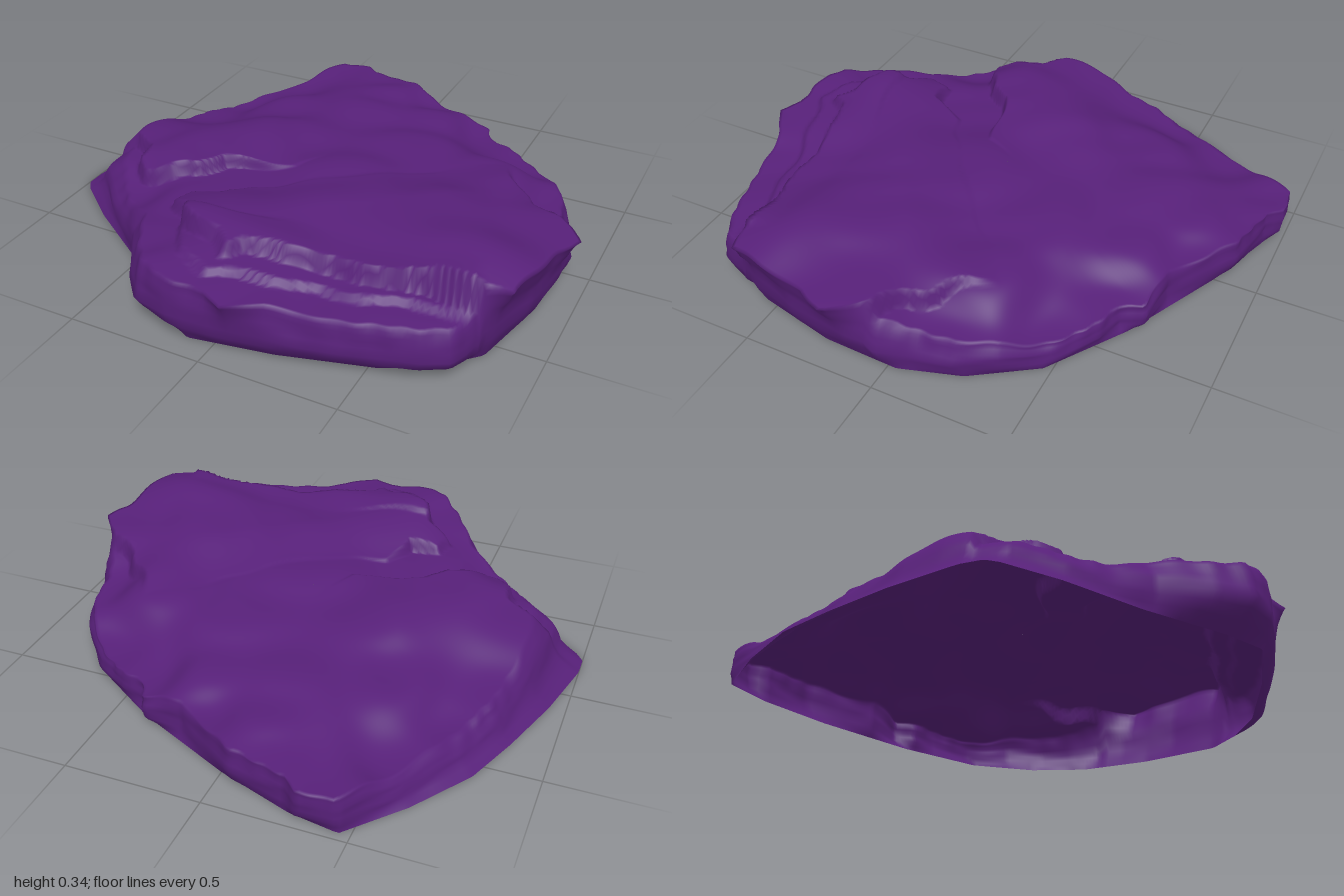
import * as THREE from 'three';

const { smoothstep, lerp } = THREE.MathUtils;

// Outlines as [x, z], running clockwise seen from above: foot, widest line and top rim
const foot = [
  [-0.46, -0.97], [-0.28, -0.94], [0, -0.84], [0.38, -0.66], [0.67, -0.47], [0.82, -0.25],
  [0.89, -0.03], [0.88, 0.25], [0.81, 0.56], [0.7, 0.67], [0.53, 0.77], [0.2, 0.86], [-0.1, 0.91],
  [-0.25, 0.82], [-0.53, 0.6], [-0.8, 0.42], [-0.97, 0.28], [-1, 0.24], [-1, 0.16],
  [-0.94, -0.1], [-0.86, -0.35], [-0.78, -0.56], [-0.63, -0.78],
];
const belly = [
  [-0.46, -0.98], [-0.32, -0.99], [-0.27, -0.94], [-0.05, -0.9], [0.08, -0.81], [0.2, -0.73],
  [0.36, -0.71], [0.4, -0.63], [0.5, -0.6], [0.65, -0.5], [0.78, -0.36], [0.85, -0.22],
  [0.88, -0.08], [0.93, 0.02], [0.93, 0.14], [0.9, 0.38], [0.83, 0.6], [0.77, 0.75],
  [0.68, 0.8], [0.45, 0.86], [0.2, 0.92], [0, 0.95], [-0.15, 0.96], [-0.28, 0.93],
  [-0.38, 0.82], [-0.5, 0.64], [-0.62, 0.53], [-0.75, 0.42], [-0.9, 0.27], [-0.9, 0.18],
  [-0.89, 0.05], [-0.87, -0.1], [-0.81, -0.33], [-0.73, -0.53], [-0.6, -0.77],
];
const rim = [
  [-0.45, -0.98], [-0.32, -0.99], [-0.27, -0.94], [-0.05, -0.89], [0.08, -0.8], [0.2, -0.72],
  [0.36, -0.7], [0.4, -0.62], [0.5, -0.59], [0.64, -0.49], [0.76, -0.35], [0.82, -0.22],
  [0.84, -0.08], [0.9, 0.07], [1, 0.18], [0.95, 0.28], [0.93, 0.45], [0.9, 0.59],
  [0.81, 0.61], [0.75, 0.73], [0.66, 0.78], [0.45, 0.84], [0.2, 0.9], [0.08, 0.99],
  [0, 0.94], [-0.15, 0.95], [-0.26, 0.9], [-0.35, 0.79], [-0.46, 0.6], [-0.62, 0.47],
  [-0.7, 0.38], [-0.8, 0.25], [-0.82, 0.1], [-0.81, -0.1], [-0.77, -0.3], [-0.69, -0.5], [-0.57, -0.76],
];

// Heights of the lowest top surface at a few places, as [x, z, y]
const heights = [
  [-0.45, -0.95, 0.14], [-0.2, -0.9, 0.15], [0.1, -0.78, 0.14], [-0.59, -0.72, 0.1],
  [-0.7, -0.48, 0.1], [-0.1, -0.5, 0.21], [-0.1, -0.7, 0.185], [0.15, -0.58, 0.2],
  [0.4, -0.63, 0.11], [0.62, -0.5, 0.1], [0.84, -0.2, 0.15], [0.9, 0.15, 0.21],
  [-0.77, -0.3, 0.12], [-0.45, -0.4, 0.19], [-0.8, 0.1, 0.17], [-0.3, -0.1, 0.23],
  [0.2, -0.25, 0.235], [0.55, -0.2, 0.24], [0.1, 0.1, 0.26], [0.5, 0.3, 0.25],
  [-0.5, 0.2, 0.21], [-0.35, 0.45, 0.22], [-0.65, 0.45, 0.15], [-0.33, 0.8, 0.23],
  [-0.2, 0.87, 0.26], [0, 0.88, 0.245], [0.4, 0.8, 0.2], [0.75, 0.7, 0.2], [0.1, 0.98, 0.23],
];

const bump = (x, z, cx, cz, r) => Math.exp(-((x - cx) ** 2 + (z - cz) ** 2) / (r * r));

// Overlapping layers of rock: each steps up at its outline and fades out behind
const layers = [
  { // high plate at the front left
    outline: [
      [0.58, -0.27], [0.68, -0.12], [0.78, -0.02], [0.9, 0.06], [1.1, 0.12], [1.1, 0.6],
      [0.8, 0.61], [0.6, 0.63], [0.3, 0.67], [0.1, 0.69], [0.01, 0.73], [-0.03, 0.8],
      [-0.08, 0.73], [-0.25, 0.67], [-0.29, 0.59], [-0.38, 0.53], [-0.37, 0.45], [-0.24, 0.43],
      [-0.2, 0.32], [-0.02, 0.22], [0.3, -0.02],
    ],
    lift: (x, z) => 0.06 * smoothstep(0.6 * x + 0.8 * z, 0.12, 0.42)
      + 0.07 * bump(x, z, 0.77, 0.5, 0.2) + 0.045 * bump(x, z, -0.25, 0.5, 0.17)
      - 0.02 * bump(x, z, 0, 0.8, 0.15),
  },
  { // low plate at the right
    outline: [
      [-0.2, -0.5], [-0.02, -0.15], [-0.1, 0.13], [-0.38, 0.2], [-0.42, 0.28], [-0.52, 0.34],
      [-0.63, 0.36], [-0.69, 0.29], [-0.72, 0.2], [-0.81, 0.13], [-0.9, -0.02], [-0.9, -0.2],
      [-0.7, -0.5], [-0.5, -0.6],
    ],
    lift: (x, z) => 0.055 * smoothstep(z, -0.4, 0.15) * (1 - smoothstep(x, -0.4, -0.02)),
  },
  { // narrow ledge below the high plate
    outline: [
      [-0.28, 0.62], [0.3, 0.5], [0.78, 0.5], [0.8, 0.64], [0.62, 0.69], [0.3, 0.75],
      [0.12, 0.81], [-0.04, 0.86], [-0.18, 0.81],
    ],
    lift: (x, z) => 0.025 * smoothstep(z, 0.5, 0.68),
  },
];

const ripple = (x, z) =>
  0.003 * Math.sin(9 * x + 5 * z + Math.sin(7 * z)) + 0.002 * Math.sin(21 * z - 11 * x + 2 * Math.sin(9 * x));

// Distance to an outline, positive inside
function insideDistance(points, x, z) {
  let nearest = Infinity, inside = false;
  points.forEach(([ax, az], i) => {
    const [bx, bz] = points[(i + 1) % points.length];
    const ex = bx - ax, ez = bz - az;
    const t = THREE.MathUtils.clamp(((x - ax) * ex + (z - az) * ez) / (ex * ex + ez * ez), 0, 1);
    nearest = Math.min(nearest, Math.hypot(x - ax - t * ex, z - az - t * ez));
    if (az > z !== bz > z && x < ax + (ex * (z - az)) / ez) inside = !inside;
  });
  return inside ? nearest : -nearest;
}

function surfaceHeight(x, z) {
  let sum = 0, total = 0;
  for (const [px, pz, y] of heights) {
    const w = 1 / ((x - px) ** 2 + (z - pz) ** 2 + 0.01) ** 2;
    sum += w * y;
    total += w;
  }
  // Ragged layer edges
  const jx = x + 0.01 * Math.sin(23 * z + 2 * Math.sin(9 * x));
  const jz = z + 0.01 * Math.sin(21 * x + 2 * Math.sin(11 * z));
  return layers.reduce(
    (y, { outline, lift }) => y + lift(x, z) * smoothstep(insideDistance(outline, jx, jz), -0.01, 0.01),
    sum / total + ripple(x, z));
}

// Distance from the middle to an outline in one direction
function reach(points, dx, dz) {
  let far = 0;
  points.forEach(([ax, az], i) => {
    const [bx, bz] = points[(i + 1) % points.length];
    const ex = bx - ax, ez = bz - az, det = dx * ez - dz * ex;
    const r = (ax * ez - az * ex) / det, t = (ax * dz - az * dx) / det;
    if (t >= -1e-6 && t <= 1 + 1e-6) far = Math.max(far, r);
  });
  return far;
}

// Skins a list of equally long rings, from the outside bottom to the middle of the top
function skin(rings) {
  const n = rings[0].length, index = [];
  for (let r = 0; r < rings.length - 1; r++) {
    for (let i = 0; i < n; i++) {
      const a = r * n + i, b = r * n + (i + 1) % n;
      index.push(a, a + n, b, b, a + n, b + n);
    }
  }
  const geometry = new THREE.BufferGeometry();
  geometry.setAttribute('position', new THREE.Float32BufferAttribute(rings.flat(2), 3));
  geometry.setIndex(index);
  geometry.computeVertexNormals();
  return geometry;
}

// Hollow slab: undercut walls up to the rim, then the layered top
function makeSlab() {
  const count = 380, steps = 80;
  const spokes = Array.from({ length: count }, (_, i) => {
    const a = (i / count) * Math.PI * 2 + 0.001;
    const dx = Math.cos(a), dz = Math.sin(a);
    const chip = 0.004 * Math.sin(47 * a + 3 * Math.sin(7 * a));
    const top = reach(rim, dx, dz) + chip;
    return {
      dx, dz, top,
      low: reach(foot, dx, dz),
      mid: reach(belly, dx, dz),
      y: surfaceHeight(dx * top, dz * top),
    };
  });
  const walls = [0, 0.15, 0.3, 0.45, 0.6, 0.72, 0.84, 0.93].map((t) =>
    spokes.map(({ dx, dz, low, mid, top, y }) => {
      const r = t < 0.45 ? lerp(low, mid, Math.sin((t / 0.45) * Math.PI / 2))
        : lerp(mid, top, ((t - 0.45) / 0.55) ** 1.6);
      const k = r + (t > 0 ? ripple(dx + 2 * t, dz - t) : 0);
      return [dx * k, t * y, dz * k];
    }));
  const tops = Array.from({ length: steps }, (_, s) => spokes.map(({ dx, dz, top }) => {
    const r = top * (1 - s / (steps - 0.9));
    return [dx * r, surfaceHeight(dx * r, dz * r), dz * r];
  }));
  return skin([...walls, ...tops]);
}

export function createModel() {
  const group = new THREE.Group();
  group.name = 'flatRock';
  const stone = new THREE.MeshStandardMaterial({ color: 0x572079, side: THREE.DoubleSide });
  const slab = new THREE.Mesh(makeSlab(), stone);
  slab.name = 'layeredSlab';
  group.add(slab);
  return group;
}
